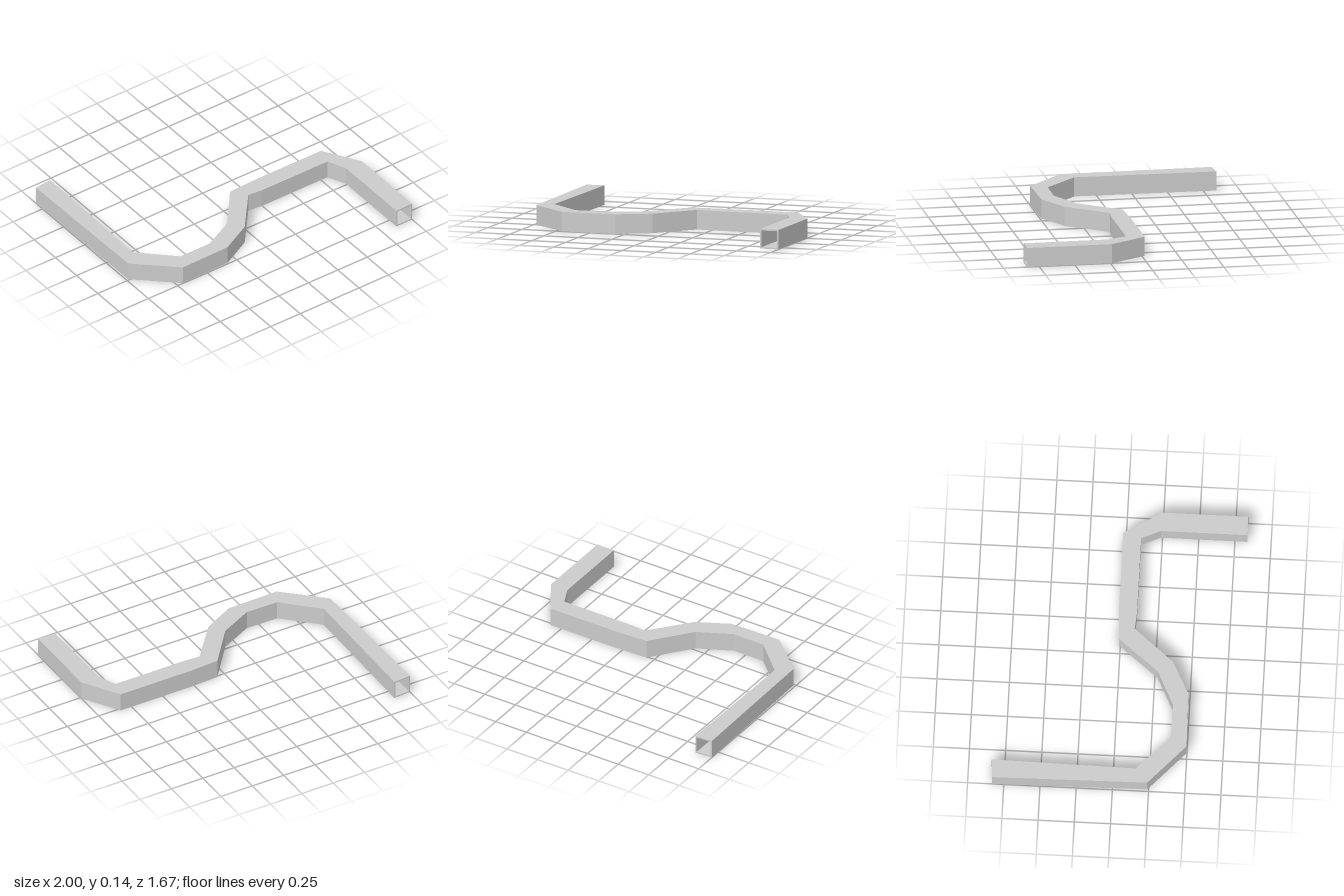
import * as THREE from 'three';

const HEIGHT = 0.136, WALL = 0.01;

// Plan of the duct from its back end to its front end: [outer x, z, inner x, z]
const STATIONS = [
  [-1, -0.83, -0.87, -0.84],
  [-0.985, 0.24, -0.885, 0.155],
  [-0.705, 0.497, -0.645, 0.385],
  [-0.32, 0.49, -0.405, 0.388],
  [-0.09, 0.372, -0.165, 0.27],
  [0.14, 0.095, 0.06, -0.01],
  [0.25, 0.105, 0.28, -0.02],
  [0.805, 0.105, 0.838, -0.02],
  [0.865, 0.24, 1, 0.24],
  [0.865, 0.835, 1, 0.835],
];

// Four corners of the rectangular section at one station, shrunk by an inset
function section([ax, az, bx, bz], inset) {
  const a = new THREE.Vector2(ax, az), b = new THREE.Vector2(bx, bz);
  const step = b.clone().sub(a).normalize().multiplyScalar(inset);
  a.add(step);
  b.sub(step);
  const lo = inset, hi = HEIGHT - inset;
  return [[a.x, lo, a.y], [b.x, lo, b.y], [b.x, hi, b.y], [a.x, hi, a.y]];
}

function ductGeometry() {
  const positions = [];
  const quad = (a, b, c, d) => positions.push(...a, ...b, ...c, ...a, ...c, ...d);
  const outer = STATIONS.map((s) => section(s, 0));
  const inner = STATIONS.map((s) => section(s, WALL));
  const last = STATIONS.length - 1;

  for (let k = 0; k < 4; k++) {
    const n = (k + 1) % 4;
    // Outside and inside walls
    for (let i = 0; i < last; i++) {
      quad(outer[i][k], outer[i][n], outer[i + 1][n], outer[i + 1][k]);
      quad(inner[i][n], inner[i][k], inner[i + 1][k], inner[i + 1][n]);
    }
    // Rims of the two open ends
    quad(outer[0][k], inner[0][k], inner[0][n], outer[0][n]);
    quad(outer[last][n], inner[last][n], inner[last][k], outer[last][k]);
  }

  const geometry = new THREE.BufferGeometry();
  geometry.setAttribute('position', new THREE.Float32BufferAttribute(positions, 3));
  geometry.computeVertexNormals();
  return geometry;
}

export function createModel() {
  const group = new THREE.Group();
  group.name = 'windingDuct';
  const material = new THREE.MeshStandardMaterial({ color: 0xcccccc, flatShading: true });
  const duct = new THREE.Mesh(ductGeometry(), material);
  duct.name = 'hollowDuct';
  group.add(duct);
  return group;
}
